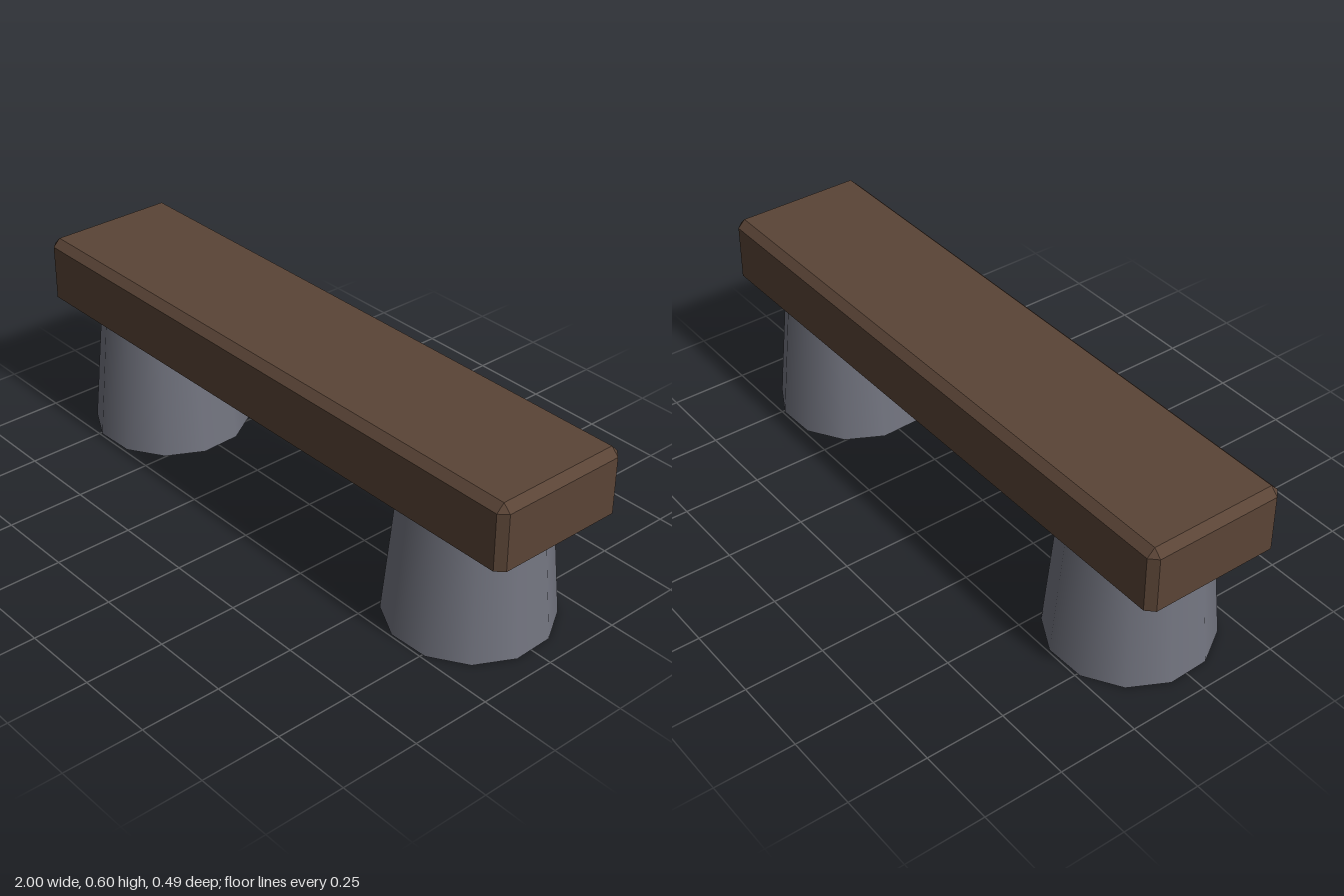
import * as THREE from 'three';

const wood = new THREE.MeshStandardMaterial({ color: 0x5a4436, side: THREE.DoubleSide });
wood.name = 'darkWood';
const stone = new THREE.MeshStandardMaterial({ color: 0x72747f, side: THREE.DoubleSide });
stone.name = 'greyStone';

// Hollow plank, open underneath, with chamfered top and upright edges
function plankGeometry(hx, hz, y0, y1, c) {
  const corners = [[1, 1], [1, -1], [-1, -1], [-1, 1]];
  const ring = (y, inset) => corners.flatMap(([sx, sz]) => {
    if (inset) {
      const p = [sx * (hx - c), y, sz * (hz - c)];
      return [p, p];
    }
    const zSide = [sx * (hx - c), y, sz * hz];
    const xSide = [sx * hx, y, sz * (hz - c)];
    return sx * sz > 0 ? [zSide, xSide] : [xSide, zSide];
  });
  const rings = [ring(y0, false), ring(y1 - c, false), ring(y1, true)];
  const pos = [];
  const tri = (a, b, d) => pos.push(...a, ...b, ...d);
  for (let r = 0; r < 2; r++) {
    for (let i = 0; i < 8; i++) {
      const j = (i + 1) % 8;
      const [lo, up] = [rings[r], rings[r + 1]];
      tri(lo[i], lo[j], up[j]);
      if (up[i] !== up[j]) tri(lo[i], up[j], up[i]);
    }
  }
  // Flat top
  const t = rings[2];
  tri(t[0], t[2], t[4]);
  tri(t[0], t[4], t[6]);
  const g = new THREE.BufferGeometry();
  g.setAttribute('position', new THREE.Float32BufferAttribute(pos, 3));
  g.computeVertexNormals();
  return g;
}

export function createModel() {
  const bench = new THREE.Group();
  bench.name = 'bench';

  const seat = new THREE.Mesh(plankGeometry(1, 0.225, 0.4, 0.601, 0.024), wood);
  seat.name = 'seat';
  bench.add(seat);

  // Tapered, open-ended legs
  const turn = THREE.MathUtils.degToRad(17);
  const legGeometry = new THREE.CylinderGeometry(0.212, 0.25, 0.4, 12, 1, true, turn);
  for (const [name, side] of [['leftLeg', 1], ['rightLeg', -1]]) {
    const leg = new THREE.Mesh(legGeometry, stone);
    leg.name = name;
    leg.position.set(side * 0.687, 0.2, 0);
    bench.add(leg);
  }
  return bench;
}
